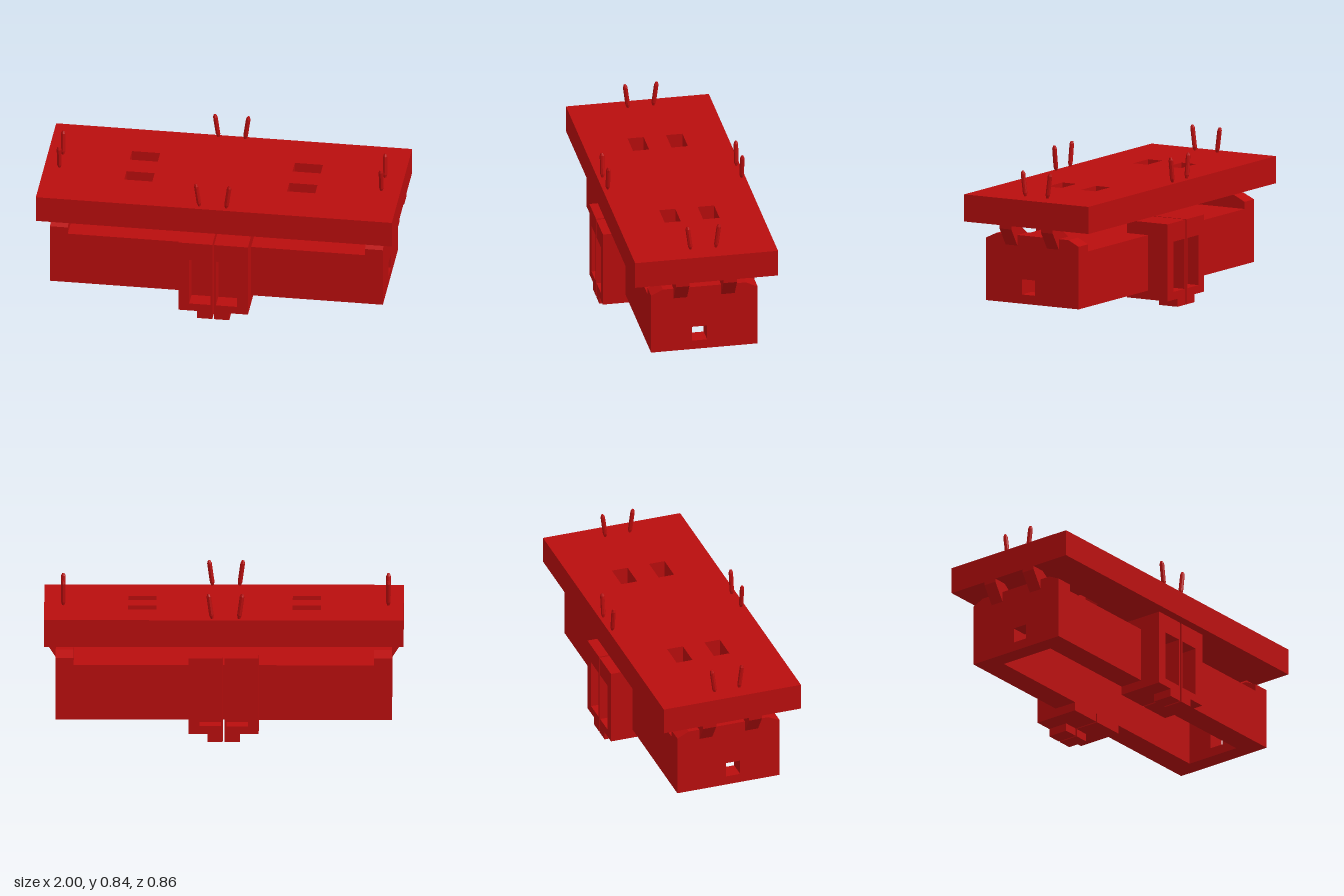
import * as THREE from 'three';

const red = new THREE.MeshStandardMaterial({ color: 0xb80d0d, flatShading: true });
red.name = 'red plastic';

const rect = (x0, y0, x1, y1) => [[x0, y0], [x1, y0], [x1, y1], [x0, y1]];

// Plate from an outline and holes, centred on its thickness
function plate(outline, thickness, holes = []) {
  const toPoints = (list) => list.map(([x, y]) => new THREE.Vector2(x, y));
  const shape = new THREE.Shape(toPoints(outline));
  holes.forEach((h) => shape.holes.push(new THREE.Path(toPoints(h))));
  const g = new THREE.ExtrudeGeometry(shape, { depth: thickness, bevelEnabled: false });
  return g.translate(0, 0, -thickness / 2);
}

export function createModel() {
  const model = new THREE.Group();
  model.name = 'model';

  function add(name, geometry, x = 0, y = 0, z = 0) {
    const mesh = new THREE.Mesh(geometry, red);
    mesh.name = name;
    mesh.position.set(x, y, z);
    model.add(mesh);
    return mesh;
  }
  const box = (name, x0, x1, y0, y1, z0, z1) => add(name,
    new THREE.BoxGeometry(x1 - x0, y1 - y0, z1 - z0),
    (x0 + x1) / 2, (y0 + y1) / 2, (z0 + z1) / 2);

  // Top slab with four rectangular slots
  const slots = [];
  for (const x of [-0.54, 0.375]) {
    slots.push(rect(x, -0.165, x + 0.158, -0.072), rect(x, 0.055, x + 0.158, 0.146));
  }
  add('topSlab', plate(rect(-1, -0.405, 1, 0.405), 0.153, slots).rotateX(Math.PI / 2), 0, 0.615, 0);

  // Hollow body, open underneath
  box('bodyTop', -0.835, 0.835, 0.36, 0.408, -0.302, 0.302);
  for (const s of [-1, 1]) {
    const a = s * 0.165, b = s * 0.302;
    box('bodySideWall', -0.835, 0.835, 0.095, 0.36, Math.min(a, b), Math.max(a, b));
  }

  // End walls with a square window and chamfered shoulders
  const endOutline = [[-0.302, 0.095], [0.302, 0.095], [0.302, 0.448],
    [0.235, 0.48], [-0.235, 0.48], [-0.302, 0.448]];
  for (const s of [-1, 1]) {
    const wall = plate(endOutline, 0.1, [rect(-0.016, 0.147, 0.069, 0.233)]);
    add('endWall', wall.rotateY(-Math.PI / 2), s * 0.885);

    // Slanted clips reaching up to the slab
    const clip = [[0.835, 0.42], [0.935, 0.42], [1, 0.52], [1, 0.54], [0.92, 0.54], [0.835, 0.482]]
      .map(([x, y]) => [s * x, y]);
    for (const z of [0.136, -0.134]) add('clip', plate(clip, 0.077), 0, 0, z);
  }

  // Paired clamps on the long sides, each half with a pocket and a foot
  for (const sz of [-1, 1]) {
    const jaw = [[0.165, 0.045], [0.335, 0.045], [0.335, 0.48], [0.165, 0.48],
      [0.165, 0.4], [0.295, 0.4], [0.295, 0.1], [0.165, 0.1]].map(([z, y]) => [sz * z, y]);
    for (const sx of [-1, 1]) {
      add('clampJaw', plate(jaw, 0.19).rotateY(-Math.PI / 2), sx * 0.1);
      const x = sx * 0.1;
      const pocket = rect(sx * 0.015, 0.09, sx * 0.135, 0.373);
      add('clampFront', plate(rect(x - 0.095, 0.045, x + 0.095, 0.48), 0.095, [pocket]), 0, 0, sz * 0.3825);
      add('clampFoot', new THREE.BoxGeometry(0.085, 0.046, 0.12), sx * 0.0475, 0.023, sz * 0.37);
    }
  }

  // Small leaning pins with tapered ends
  const pinProfile = [[0, -0.073], [0.007, -0.073], [0.013, -0.054], [0.013, 0.054],
    [0.007, 0.07], [0, 0.07]].map(([r, y]) => new THREE.Vector2(r, y));
  const pinGeometry = new THREE.LatheGeometry(pinProfile, 8);
  for (const s of [-1, 1]) {
    for (const z of [-0.382, 0.377]) {
      add('sidePin', pinGeometry, s * 0.085 - 0.01, 0.768, z).rotation.z = -s * 0.14;
    }
    for (const x of [-0.915, 0.894]) {
      add('endPin', pinGeometry, x, 0.768, s * 0.081 - 0.002).rotation.x = s * 0.13;
    }
  }
  return model;
}
